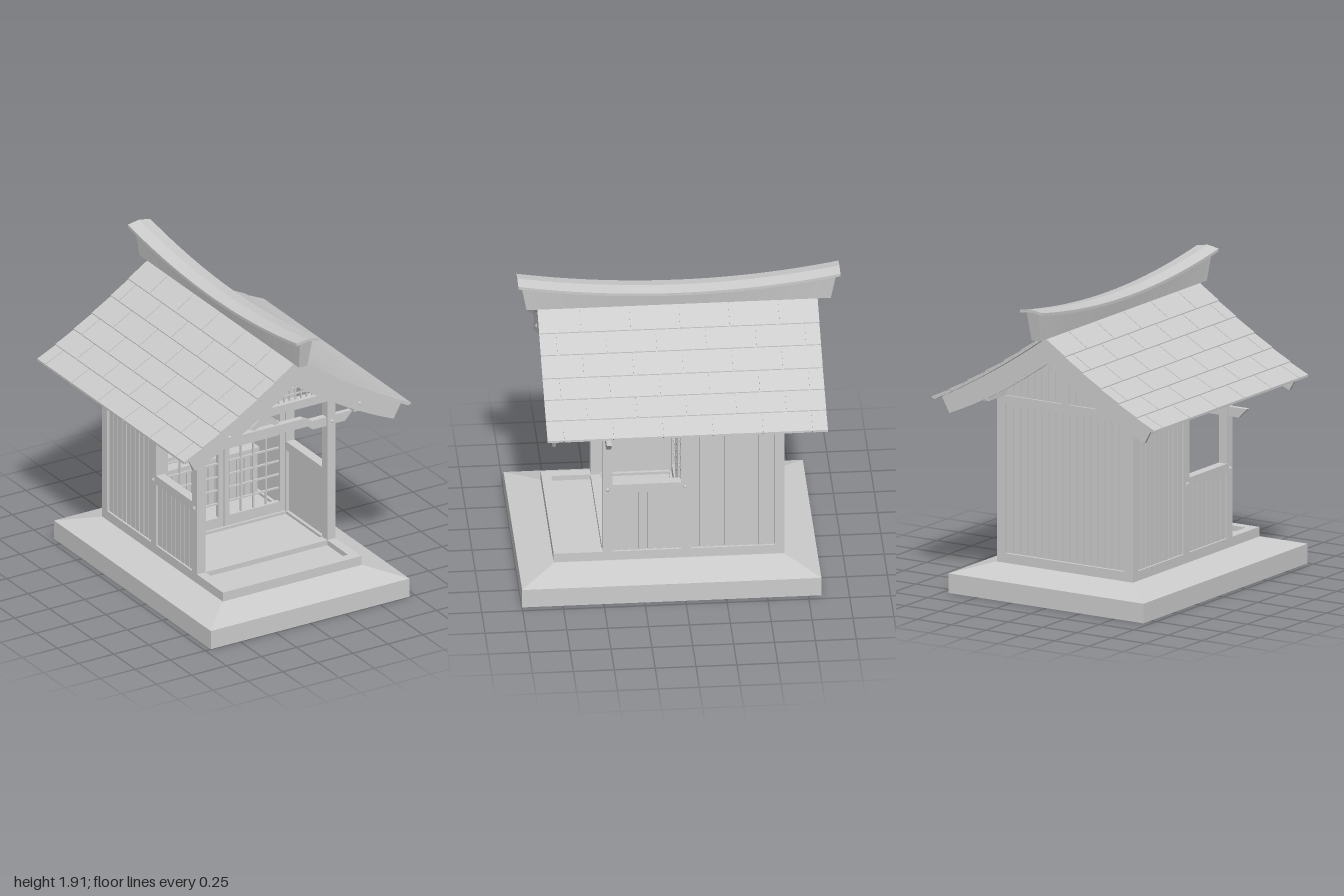
import * as THREE from 'three';

const mat = new THREE.MeshStandardMaterial({ color: 0xcccccc, flatShading: true });

// Height of the roof surface at distance |x| from the ridge
const roofY = (x) => 1.72 - 0.72 * Math.abs(x) + 0.14 * x * x;
const underY = (x) => roofY(x) - 0.06;

function add(parent, name, geo) {
  const m = new THREE.Mesh(geo, mat);
  m.name = name;
  parent.add(m);
  return m;
}
function box(parent, name, x0, x1, y0, y1, z0, z1) {
  const geo = new THREE.BoxGeometry(x1 - x0, y1 - y0, z1 - z0);
  geo.translate((x0 + x1) / 2, (y0 + y1) / 2, (z0 + z1) / 2);
  return add(parent, name, geo);
}
function slab(parent, name, pts, z0, z1) {
  const shape = new THREE.Shape(pts.map((p) => new THREE.Vector2(p[0], p[1])));
  const geo = new THREE.ExtrudeGeometry(shape, { depth: z1 - z0, bevelEnabled: false });
  geo.translate(0, 0, z0);
  return add(parent, name, geo);
}
function group(parent, name) {
  const g = new THREE.Group();
  g.name = name;
  parent.add(g);
  return g;
}
// Chevron band following the roof curve, between two depths below it; taper thins its ends
function band(parent, name, top, bottom, xTop, xBottom, z0, z1, taper = 0) {
  const pts = [], n = 8;
  for (let i = -n; i <= n; i++) pts.push([xTop * i / n, roofY(xTop * i / n) - top]);
  for (let i = n; i >= -n; i--) {
    const x = xBottom * i / n;
    pts.push([x, roofY(x) - bottom + taper * x * x]);
  }
  return slab(parent, name, pts, z0, z1);
}
// Pyramid nail head pointing along +z, or along x when side is given
function nail(parent, x, y, z, side = 0) {
  const geo = new THREE.ConeGeometry(0.014, 0.014, 4);
  geo.rotateY(Math.PI / 4).rotateX(Math.PI / 2).translate(0, 0, 0.007);
  const m = add(parent, 'nailHead', geo);
  m.position.set(x, y, z);
  m.rotation.y = side * Math.PI / 2;
}
// Vertical boards across a span; put() places one board from a to b
function boards(a0, a1, put) {
  const n = Math.round((a1 - a0) / 0.05), step = (a1 - a0) / n;
  for (let i = 0; i < n; i++) put(a0 + i * step + 0.004, a0 + (i + 1) * step - 0.004);
}

function buildBase(root) {
  const g = group(root, 'base');
  box(g, 'plinth', -0.71, 0.71, 0, 0.123, -0.83, 1);
  const geo = new THREE.BoxGeometry(1.42, 0.06, 1.83);
  const p = geo.attributes.position;
  for (let i = 0; i < p.count; i++) {
    const top = p.getY(i) > 0;
    p.setXYZ(i, Math.sign(p.getX(i)) * (top ? 0.5 : 0.71), top ? 0.183 : 0.123,
      p.getZ(i) > 0 ? (top ? 0.79 : 1) : (top ? -0.62 : -0.83));
  }
  geo.computeVertexNormals();
  add(g, 'slopedPlinthTop', geo);
  for (const s of [-1, 1]) box(g, 'sideSill', s * 0.465 - 0.03, s * 0.465 + 0.03, 0.183, 0.243, -0.62, 0.79);
  for (const z of [0.76, 0.46, -0.02, -0.59]) box(g, 'crossSill', -0.435, 0.435, 0.183, 0.243, z - 0.03, z + 0.03);
  box(g, 'frontStep', -0.435, 0.435, 0.183, 0.21, 0.49, 0.73);
  box(g, 'floor', -0.435, 0.435, 0.183, 0.225, -0.56, 0.43);
}

function buildWalls(root) {
  const g = group(root, 'walls');
  for (const s of [-1, 1]) {
    const side = (name, x0, x1, y0, y1, z0, z1) =>
      box(g, name, Math.min(s * x0, s * x1), Math.max(s * x0, s * x1), y0, y1, z0, z1);
    for (const z of [0.46, -0.02, -0.59]) side('post', 0.435, 0.495, 0.243, 1.235, z - 0.03, z + 0.03);
    side('wallPlate', 0.435, 0.495, 1.235, 1.295, -0.8, 0.8);
    // Low porch wall and full-height room wall
    side('porchRail', 0.435, 0.495, 0.655, 0.713, 0.01, 0.43);
    side('porchPanel', 0.455, 0.47, 0.243, 0.655, 0.01, 0.43);
    boards(0.01, 0.43, (a, b) => side('porchBoard', 0.47, 0.482, 0.243, 0.655, a, b));
    side('roomPanel', 0.455, 0.47, 0.243, 1.235, -0.56, -0.05);
    boards(-0.56, -0.05, (a, b) => side('roomBoard', 0.47, 0.482, 0.243, 1.235, a, b));
    for (const z of [0.46, -0.015]) nail(g, s * 0.495, 0.68, z, s);
    nail(g, s * 0.465, 1.04, 0.49);
  }
  // Rear wall and the two boarded gables
  box(g, 'rearPanel', -0.435, 0.435, 0.243, 1.18, -0.59, -0.575);
  boards(-0.435, 0.435, (a, b) => box(g, 'rearBoard', a, b, 0.243, 1.18, -0.602, -0.59));
  box(g, 'transomPanel', -0.435, 0.435, 1.04, 1.18, -0.035, -0.02);
  boards(-0.435, 0.435, (a, b) => box(g, 'transomBoard', a, b, 1.04, 1.18, -0.02, -0.008));
  for (const [z, d] of [[-0.59, -1], [-0.02, 1]]) {
    box(g, 'gableBeam', -0.435, 0.435, 1.18, 1.235, z - 0.03, z + 0.03);
    box(g, 'gableKingPost', -0.025, 0.025, 1.235, 1.63, z - 0.03, z + 0.03);
    const pts = [[0.495, 1.235], [-0.495, 1.235]];
    for (let i = -4; i <= 4; i++) pts.push([i * 0.12375, underY(i * 0.12375)]);
    slab(g, 'gablePanel', pts, z - 0.008, z + 0.008);
    for (const s of [-1, 1]) boards(0.025, 0.475, (a, b) =>
      slab(g, 'gableBoard', [[s * a, 1.235], [s * b, 1.235], [s * b, underY(b)], [s * a, underY(a)]],
        z + d * 0.013 - 0.006, z + d * 0.013 + 0.006));
  }
}

function buildDoors(root) {
  const g = group(root, 'doors');
  box(g, 'doorLintel', -0.435, 0.435, 0.98, 1.04, -0.05, 0.01);
  for (const s of [-1, 1]) {
    const d = group(g, 'latticeDoor');
    d.position.x = s * 0.2185;
    for (const t of [-1, 1]) box(d, 'doorStile', t * 0.198 - 0.018, t * 0.198 + 0.018, 0.243, 0.98, -0.035, -0.005);
    box(d, 'doorBottomRail', -0.18, 0.18, 0.243, 0.31, -0.035, -0.005);
    box(d, 'doorTopRail', -0.18, 0.18, 0.94, 0.98, -0.035, -0.005);
    for (let i = 1; i < 4; i++) box(d, 'doorBar', -0.185 + i * 0.09, -0.175 + i * 0.09, 0.31, 0.94, -0.026, -0.014);
    for (let i = 1; i < 7; i++) box(d, 'doorBar', -0.18, 0.18, 0.305 + i * 0.09, 0.315 + i * 0.09, -0.026, -0.014);
  }
  // Boarded altar inside the room
  const a = group(root, 'altar');
  box(a, 'altarBody', -0.435, 0.435, 0.225, 0.52, -0.56, -0.33);
  boards(-0.435, 0.435, (x0, x1) => box(a, 'altarBoard', x0, x1, 0.225, 0.51, -0.33, -0.318));
  box(a, 'altarTop', -0.435, 0.435, 0.52, 0.55, -0.56, -0.3);
  box(a, 'altarStep', -0.435, 0.435, 0.55, 0.58, -0.56, -0.4);
}

function buildPorchFront(root) {
  const g = group(root, 'porchFront');
  box(g, 'topBeam', -0.435, 0.435, 1.18, 1.235, 0.43, 0.49);
  box(g, 'kingPost', -0.025, 0.025, 1.235, 1.63, 0.435, 0.485);
  // Arched tie beam with nosings and a frog-leg strut
  slab(g, 'archedBeam', [[-0.435, 1.01], [-0.34, 1.01], [-0.3, 1.04], [0.3, 1.04], [0.34, 1.01], [0.435, 1.01],
    [0.435, 1.07], [0.33, 1.07], [0.27, 1.1], [-0.27, 1.1], [-0.33, 1.07], [-0.435, 1.07]], 0.44, 0.48);
  for (const s of [-1, 1])
    slab(g, 'beamNosing', [[s * 0.49, 1.01], [s * 0.57, 1.01], [s * 0.63, 1.07], [s * 0.49, 1.07]], 0.445, 0.475);
  slab(g, 'frogLegStrut', [[-0.1, 1.11], [-0.07, 1.105], [-0.03, 1.13], [0.03, 1.13], [0.07, 1.105], [0.1, 1.11],
    [0.085, 1.135], [0.045, 1.165], [0.03, 1.18], [-0.03, 1.18], [-0.045, 1.165], [-0.085, 1.135]], 0.445, 0.475);
  // Gable lattice
  for (const s of [-1, 1]) for (let x = 0.065; x < 0.46; x += 0.04)
    box(g, 'gableLatticeBar', s * x - 0.004, s * x + 0.004, 1.235, underY(x), 0.455, 0.465);
  for (let y = 1.275; y < 1.6; y += 0.04) {
    let w = 0.5;
    while (underY(w) < y) w -= 0.01;
    box(g, 'gableLatticeBar', -w, w, y - 0.004, y + 0.004, 0.455, 0.465);
  }
}

function buildRoof(root) {
  const g = group(root, 'roof');
  band(g, 'roofBoard', 0.01, 0.026, 0.805, 0.795, -0.86, 0.85);
  for (let i = 0; i < 6; i++) {
    const z = 0.6 - i * 0.243;
    band(g, 'rafter', 0.026, 0.052, 0.775, 0.765, z - 0.0125, z + 0.0125);
  }
  for (const z of [0.46, -0.59]) band(g, 'gableRafter', 0.05, 0.11, 0.45, 0.45, z - 0.025, z + 0.025);
  box(g, 'ridgePurlin', -0.03, 0.03, 1.56, 1.65, -0.8, 0.8);
  for (const z of [0.795, -0.82]) band(g, 'bargeBoard', 0.026, 0.19, 0.765, 0.71, z, z + 0.02, 0.075);
  for (const s of [-1, 1]) nail(g, s * 0.465, 1.295, 0.815);
  // Overlapping shingle courses with staggered joints
  const rows = [0.81, 0.68, 0.55, 0.42, 0.285, 0.16, 0.02];
  for (const s of [-1, 1]) for (let r = 0; r < 6; r++) {
    const a = rows[r], b = rows[r + 1] - (r < 5 ? 0.01 : 0);
    const pts = [[s * a, roofY(a)], [s * b, roofY(b) - 0.007], [s * b, roofY(b) - 0.014], [s * a, roofY(a) - 0.014]];
    const cuts = [-0.865];
    for (let z = r % 2 ? -0.616 : -0.768; z < 0.8; z += 0.304) cuts.push(z);
    cuts.push(0.855);
    for (let i = 0; i + 1 < cuts.length; i++) slab(g, 'shingle', pts, cuts[i] + 0.003, cuts[i + 1] - 0.003);
  }
}

function buildRidge(root) {
  const g = group(root, 'ridge');
  const sag = (z) => 1.822 + 0.088 * ((z + 0.012) / 0.985) ** 2;
  // Flared ridge body under a swept, shallow-pitched cap
  const body = new THREE.BoxGeometry(2, 2, 2, 1, 1, 24);
  let p = body.attributes.position;
  for (let i = 0; i < p.count; i++) {
    const top = p.getY(i) > 0, z = p.getZ(i) * (top ? 0.965 : 0.93) - 0.012;
    p.setXYZ(i, p.getX(i) * (top ? 0.045 : 0.03), top ? sag(z) - 0.022 : 1.7, z);
  }
  body.computeVertexNormals();
  add(g, 'ridgeBody', body);
  const cap = new THREE.BoxGeometry(0.16, 0.018, 1.97, 2, 1, 24);
  p = cap.attributes.position;
  for (let i = 0; i < p.count; i++) {
    const z = p.getZ(i) - 0.012;
    p.setXYZ(i, p.getX(i), p.getY(i) + sag(z) - 0.009 - 0.17 * Math.abs(p.getX(i)), z);
  }
  cap.computeVertexNormals();
  add(g, 'ridgeCap', cap);
}

export function createModel() {
  const root = new THREE.Group();
  root.name = 'woodenShrine';
  buildBase(root);
  buildWalls(root);
  buildDoors(root);
  buildPorchFront(root);
  buildRoof(root);
  buildRidge(root);
  return root;
}
